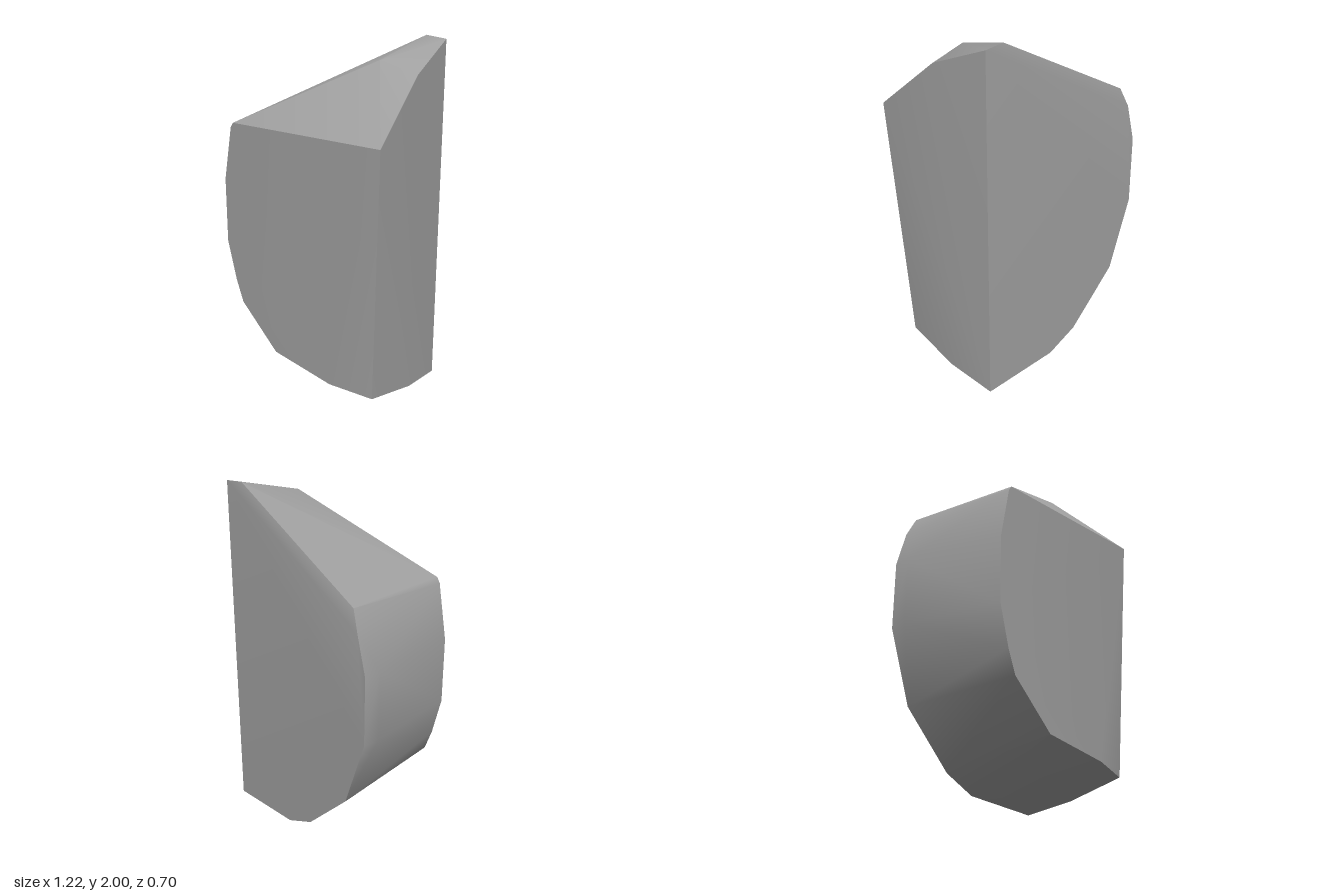
import * as THREE from 'three';
import { ConvexGeometry } from 'three/addons/geometries/ConvexGeometry.js';
import { toCreasedNormals } from 'three/addons/utils/BufferGeometryUtils.js';

export function createModel() {
  const group = new THREE.Group();
  group.name = 'rock';
  const stone = new THREE.MeshStandardMaterial({ color: 0xa0a0a0 });
  stone.name = 'stone grey';

  // Cross-section of the broad front face, x and y at z = 0.35
  const front = [
    [0.605, 1.56], [-0.42, 1.52], [-0.44, 1.49], [-0.5, 1.18], [-0.5, 0.8],
    [-0.44, 0.57], [-0.39, 0.44], [-0.13, 0.2], [0.28, 0.145],
  ];
  // Cross-section of the flat back face, x and y at z = -0.35
  const back = [
    [0.49, 1.99], [-0.55, 1.44], [-0.61, 1.22], [-0.61, 0.83],
    [-0.47, 0.42], [-0.17, 0.12], [0.02, 0.03], [0.49, 0],
  ];
  // Corners between the faces: peak ridge, side bulge and chipped base
  const corners = [
    [0.37, 2, -0.34], [0.33, 1.91, 0.01], [0.55, 1.86, -0.02],
    [-0.5, 1.55, -0.33], [-0.61, 1.22, -0.25], [-0.61, 0.83, -0.25],
    [0.53, 0.12, 0.285], [0.53, 0.045, -0.06],
  ];

  const points = [
    ...front.map(([x, y]) => new THREE.Vector3(x, y, 0.35)),
    ...back.map(([x, y]) => new THREE.Vector3(x, y, -0.35)),
    ...corners.map((c) => new THREE.Vector3(...c)),
  ];

  // Chiselled boulder with softened shallow facets and sharp main edges
  const boulder = new THREE.Mesh(
    toCreasedNormals(new ConvexGeometry(points), Math.PI / 6), stone);
  boulder.name = 'boulder';
  group.add(boulder);
  return group;
}
